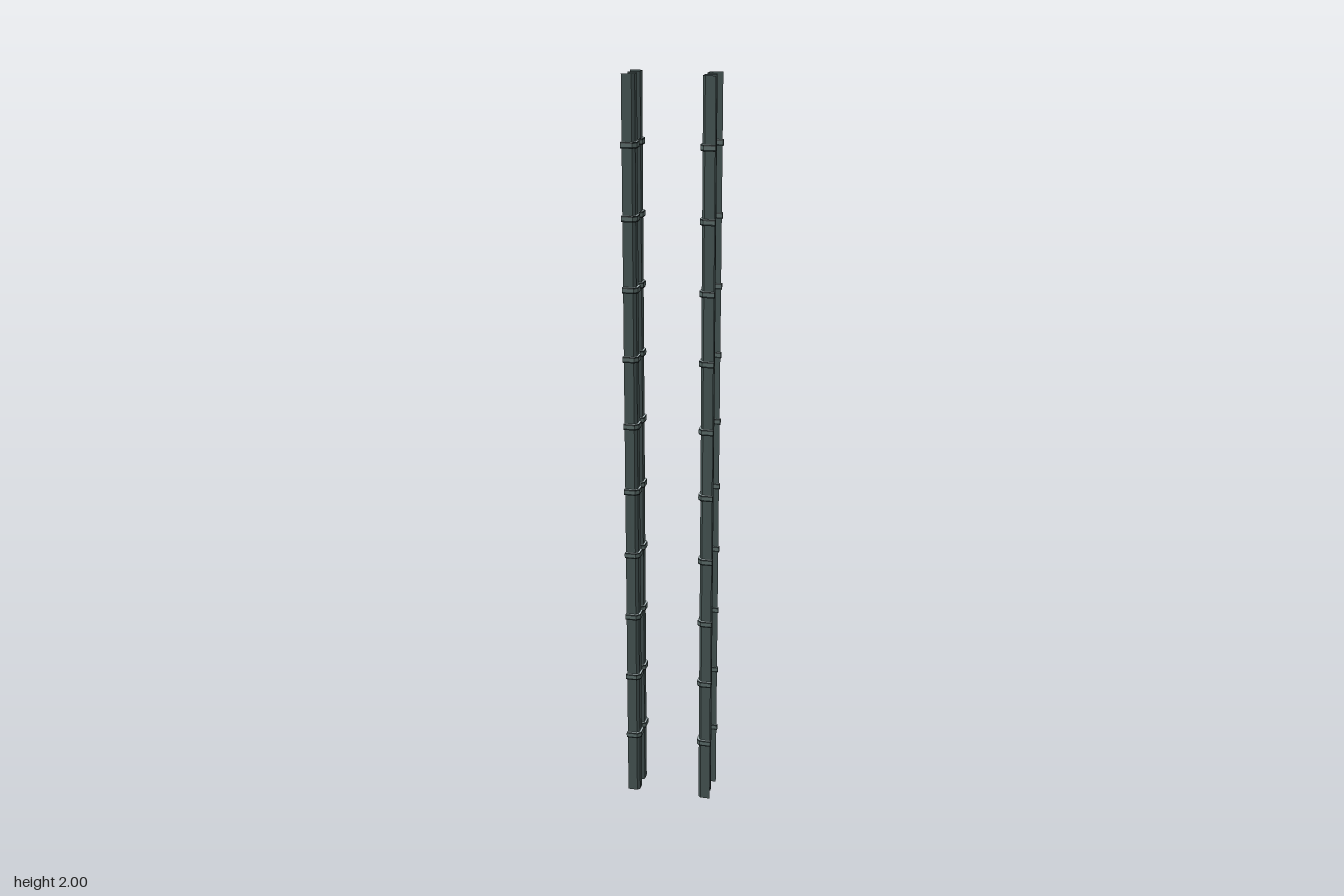
import * as THREE from 'three';

function paint(name, color, side = THREE.FrontSide) {
  const material = new THREE.MeshStandardMaterial({ color, side });
  material.name = name;
  return material;
}
const railPaint = paint('dark slate', 0x414f4e, THREE.DoubleSide);
const bevelPaint = paint('near black slate', 0x1e2727);
const palePaint = paint('pale blue grey', 0xc0d0d2);
const sidePaint = paint('slate grey', 0x566664);

// Joins equal-length rings of points into flat-shaded strips, one strip per side.
function loft(rings, closed) {
  const n = rings[0].length, index = [];
  for (let j = 0; j < (closed ? n : n - 1); j++) {
    for (let i = 0; i < rings.length - 1; i++) {
      const a = i * n + j, b = i * n + (j + 1) % n;
      index.push(a, a + n, b, b, a + n, b + n);
    }
  }
  // End caps
  if (closed) {
    const last = (rings.length - 1) * n;
    for (let j = 1; j < n - 1; j++) index.push(0, j, j + 1, last, last + j + 1, last + j);
  }
  const geo = new THREE.BufferGeometry();
  geo.setAttribute('position', new THREE.Float32BufferAttribute(rings.flat(2), 3));
  geo.setIndex(index);
  const flat = geo.toNonIndexed();
  flat.computeVertexNormals();
  return flat;
}

// Bevelled section of a rib, and the paint slot of each of its sides
const section = [[1, 0.5], [0.85, 1], [-0.85, 1], [-1, 0.5], [-1, -0.5], [-0.85, -1], [0.85, -1], [1, -0.5]];
const ribPaints = [bevelPaint, palePaint, sidePaint];
const slots = [0, 1, 0, 2, 0, 1, 0, 2];

// Sweeps the section along a path of [x, z] points, mitred at the bends.
function bead(path, halfWidth, halfHeight) {
  const pts = path.map(([x, z]) => new THREE.Vector2(x, z));
  const dirs = pts.slice(1).map((p, i) => p.clone().sub(pts[i]).normalize());
  const rings = pts.map((p, i) => {
    const d0 = dirs[Math.max(i - 1, 0)], d1 = dirs[Math.min(i, dirs.length - 1)];
    const t = d0.clone().add(d1).normalize();
    const w = halfWidth / t.dot(d1);
    return section.map(([s, y]) => [p.x - t.y * s * w, y * halfHeight, p.y + t.x * s * w]);
  });
  const geo = loft(rings, true);
  const strip = dirs.length * 6;
  slots.forEach((slot, j) => geo.addGroup(j * strip, strip, slot));
  geo.addGroup(slots.length * strip, Infinity, 2);
  return geo;
}

export function createModel() {
  const model = new THREE.Group();
  model.name = 'railPair';

  // Half profile of the folded channel: flange, chamfer, web, groove wall
  const half = [[0.118, 0.046], [0.092, 0.046], [0.085, 0.039], [0.085, 0.016], [0.112, 0.004]];
  const profile = [...half, ...half.map(([x, z]) => [x, -z]).reverse()];
  const railGeo = loft([0, 2].map(y => profile.map(([x, z]) => [x, y, z])), false);

  // Raised rib following each half of the channel
  const ribGeo = bead(
    [[0.12, 0.0477], [0.0915, 0.0477], [0.0838, 0.04], [0.0838, 0.0165], [0.091, 0.0115]],
    0.004, 0.008);

  for (const side of [1, -1]) {
    const rail = new THREE.Group();
    rail.name = side > 0 ? 'leftRail' : 'rightRail';
    rail.scale.x = side;

    const channel = new THREE.Mesh(railGeo, railPaint);
    channel.name = 'channel';
    rail.add(channel);

    for (let i = 0; i < 10; i++) {
      for (const end of [1, -1]) {
        const rib = new THREE.Mesh(ribGeo, ribPaints);
        rib.name = end > 0 ? 'frontRib' : 'backRib';
        rib.position.y = 0.178 + i * 0.1833;
        rib.scale.z = end;
        rail.add(rib);
      }
    }
    model.add(rail);
  }
  return model;
}
